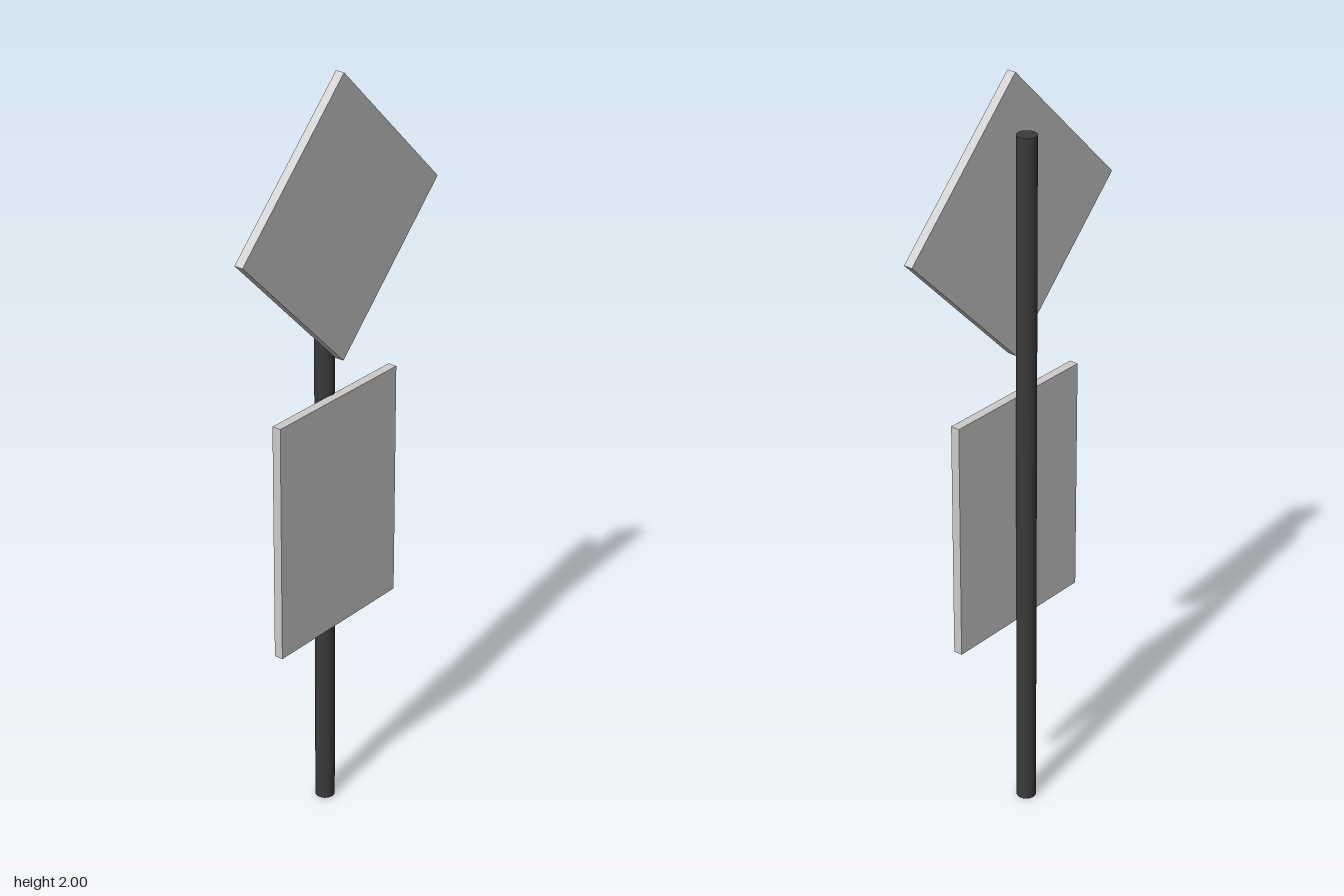
import * as THREE from 'three';

export function createModel() {
  const group = new THREE.Group();
  const grey = new THREE.MeshStandardMaterial({ color: 0xcccccc });
  const dark = new THREE.MeshStandardMaterial({ color: 0x3a3a3a });

  function add(name, geometry, material, x, y, z) {
    const mesh = new THREE.Mesh(geometry, material);
    mesh.name = name;
    mesh.position.set(x, y, z);
    group.add(mesh);
    return mesh;
  }

  // Round post behind both panels
  const postHeight = 1.857;
  add('post', new THREE.CylinderGeometry(0.0255, 0.0255, postHeight, 32), dark, 0.003, postHeight / 2, -0.0175);

  // Square panel turned on its corner
  const side = 0.3635 * Math.SQRT2;
  const diamond = add('diamondPanel', new THREE.BoxGeometry(side, side, 0.024), grey, 0, 1.6365, 0.031);
  diamond.rotation.z = Math.PI / 4;

  // Upright rectangular panel below it
  add('rectangularPanel', new THREE.BoxGeometry(0.447, 0.636, 0.024), grey, 0.003, 0.852, 0.017);

  return group;
}
